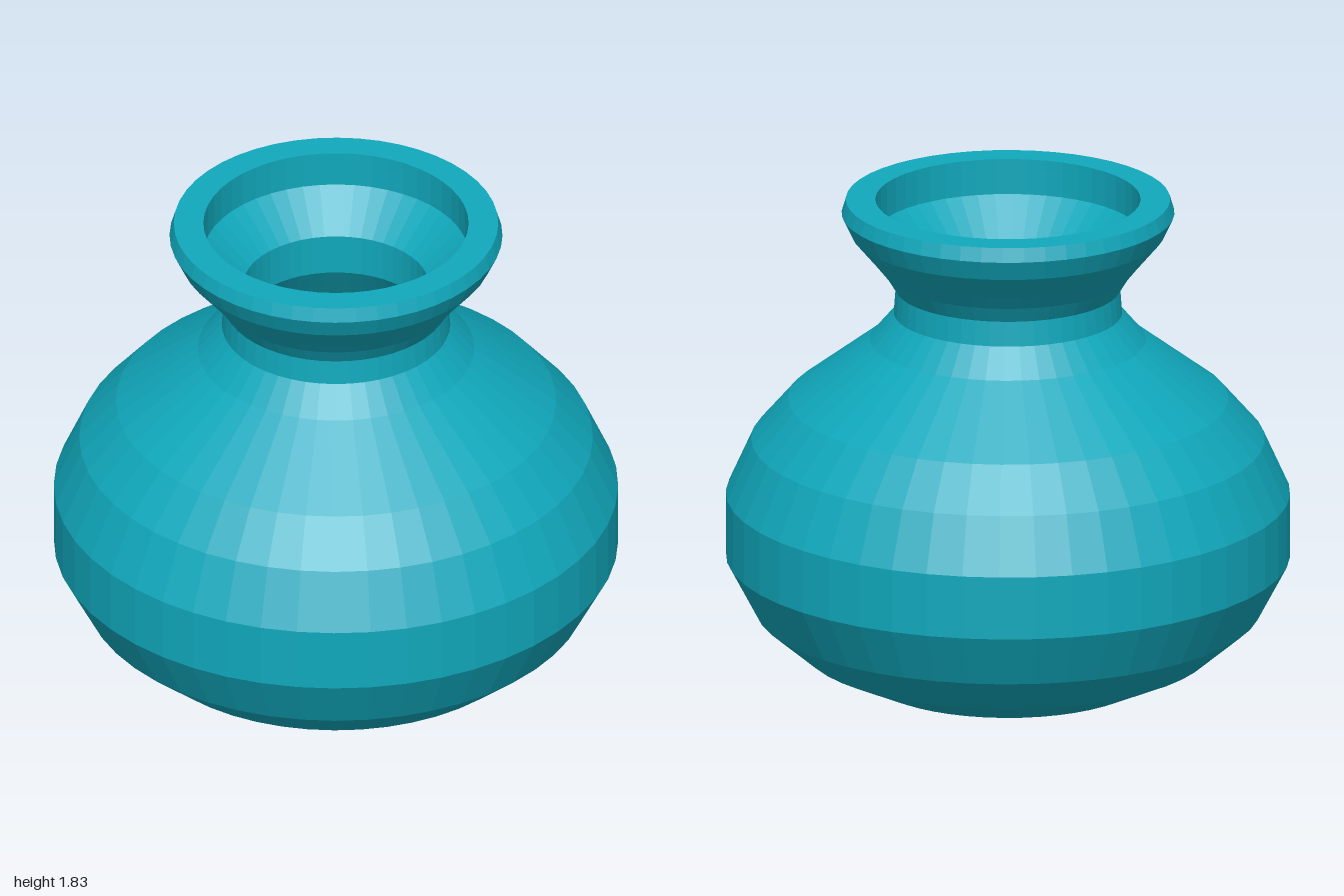
import * as THREE from 'three';

const SIDES = 48;

export function createModel() {
  const group = new THREE.Group();
  group.name = 'pot';
  const glaze = new THREE.MeshStandardMaterial({ color: 0x10a8bc, flatShading: true });
  glaze.name = 'teal glaze';

  // Turns a profile of [radius, height] pairs; upward profiles face outward, downward ones inward.
  const turn = (name, profile) => {
    const points = profile.map(([r, y]) => new THREE.Vector2(r, y));
    const mesh = new THREE.Mesh(new THREE.LatheGeometry(points, SIDES), glaze);
    mesh.name = name;
    group.add(mesh);
  };

  // Rounded belly, closed underneath
  turn('belly', [
    [0, 0], [0.27, 0], [0.5, 0.06], [0.725, 0.165], [0.895, 0.31], [1, 0.51],
    [1, 0.74], [0.91, 0.94], [0.78, 1.09], [0.49, 1.31], [0.405, 1.41],
  ]);

  // Narrow neck flaring out to the lip
  turn('neck', [
    [0.405, 1.41], [0.398, 1.5], [0.435, 1.56], [0.475, 1.61], [0.555, 1.705], [0.59, 1.78],
  ]);

  // Lip: outer bevel, flat top and straight inner wall
  turn('lip', [[0.59, 1.78], [0.575, 1.83], [0.47, 1.83], [0.47, 1.7]]);

  // Funnel and neck opening
  turn('innerNeck', [[0.47, 1.7], [0.33, 1.57], [0.33, 1.42]]);

  // Hollow inside of the belly, down to the floor
  turn('innerBelly', [
    [0.33, 1.42], [0.44, 1.25], [0.72, 1.04], [0.84, 0.9], [0.92, 0.72],
    [0.92, 0.53], [0.83, 0.36], [0.68, 0.23], [0.47, 0.135], [0.24, 0.08], [0, 0.08],
  ]);

  return group;
}
